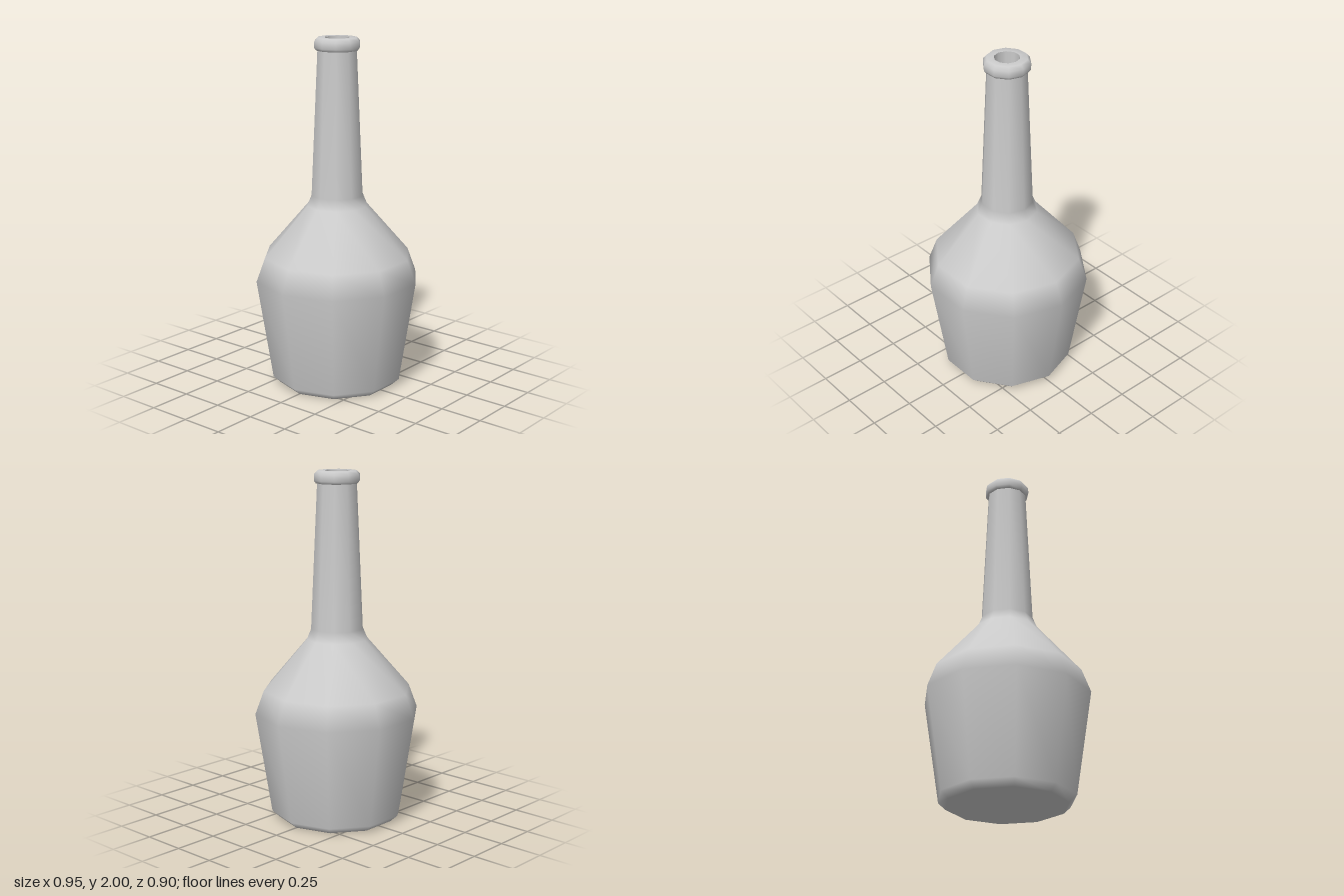
import * as THREE from 'three';

const SIDES = 10;

export function createModel() {
  const group = new THREE.Group();
  group.name = 'bottle';
  const material = new THREE.MeshStandardMaterial({ color: 0xcccccc });

  // Revolve a [radius, height] profile, with a corner of the decagon on the x axis
  const addLathe = (name, profile) => {
    const points = profile.map(([r, y]) => new THREE.Vector2(r, y));
    const mesh = new THREE.Mesh(new THREE.LatheGeometry(points, SIDES, Math.PI / 2), material);
    mesh.name = name;
    group.add(mesh);
  };

  // Base, tapered body, shoulder and neck
  addLathe('body', [
    [0, 0], [0.34, 0], [0.383, 0.04], [0.475, 0.625], [0.425, 0.76],
    [0.175, 1.05], [0.15, 1.11], [0.113, 1.93],
  ]);

  // Rolled lip around the mouth
  addLathe('lip', [
    [0.11, 1.93], [0.12, 1.93], [0.131, 1.945], [0.131, 1.98], [0.113, 2], [0.071, 2],
  ]);

  // Recessed mouth opening
  addLathe('mouth', [[0.071, 2], [0.071, 1.9]]);
  addLathe('mouthFloor', [[0.071, 1.9], [0, 1.9]]);

  return group;
}
